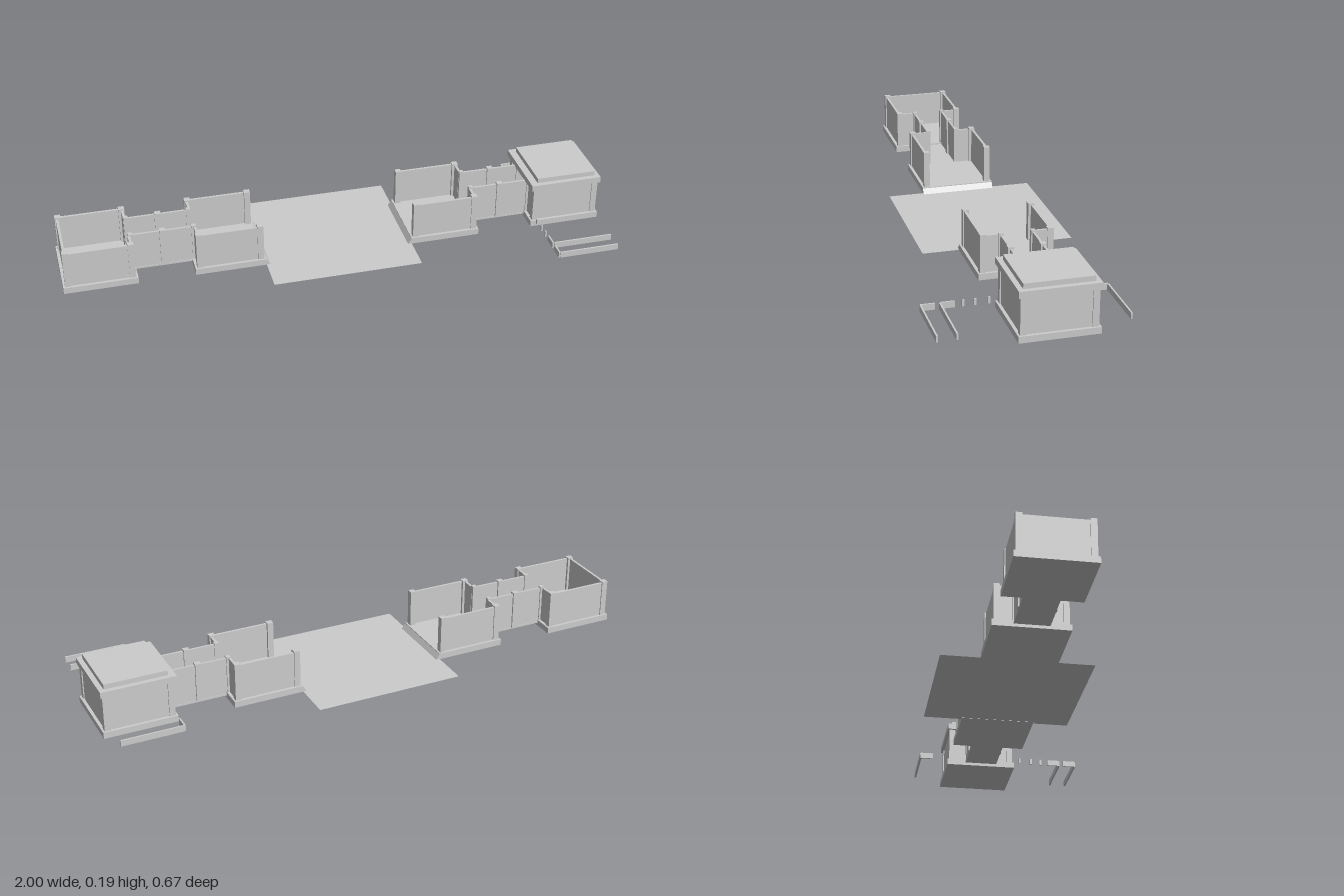
import * as THREE from 'three';

const CZ = -0.057; // shared centre line of rooms and corridors
const grey = new THREE.MeshStandardMaterial({ color: 0xcccccc, flatShading: true });
const thin = new THREE.MeshStandardMaterial({ color: 0xcccccc, side: THREE.DoubleSide });

// box given by its limits on each axis
function block(parent, name, xa, xb, ya, yb, za, zb) {
  const mesh = new THREE.Mesh(
    new THREE.BoxGeometry(Math.abs(xb - xa), Math.abs(yb - ya), Math.abs(zb - za)), grey);
  mesh.position.set((xa + xb) / 2, (ya + yb) / 2, (za + zb) / 2);
  mesh.name = name;
  parent.add(mesh);
}

// square room on side s, between x0 (inner) and x1 (outer)
function room(name, s, x0, x1, outerSide) {
  const g = new THREE.Group();
  g.name = name;
  const H = 0.129, T = 0.009, P = 0.022, top = 0.156;
  block(g, 'baseSlab', s * x0, s * x1, 0, 0.023, CZ - 0.136, CZ + 0.136);
  const a = x0 + 0.007, b = x1 - 0.007;
  for (const k of [1, -1]) {
    const zo = CZ + k * H;
    block(g, 'sideWall', s * a, s * b, 0.02, top, zo - k * 0.004, zo - k * (0.004 + T));
    for (const x of [a, b - P]) {
      block(g, 'cornerPost', s * x, s * (x + P), 0.02, 0.161, zo, zo - k * P);
    }
    // short return wall beside the corridor opening, ending in a small post
    const xr = outerSide ? a + 0.004 : b - 0.004 - T;
    block(g, 'returnWall', s * xr, s * (xr + T), 0.02, top, CZ + k * 0.058, zo - k * 0.005);
    const xp = outerSide ? a - 0.004 : b - 0.012;
    block(g, 'doorPost', s * xp, s * (xp + 0.016), 0.02, 0.161, CZ + k * 0.048, CZ + k * 0.064);
  }
  if (outerSide) {
    block(g, 'endWall', s * (b - 0.004), s * (b - 0.004 - T), 0.02, top, CZ - H + 0.01, CZ + H - 0.01);
  }
  return g;
}

// narrow passage between the two rooms on one side
function corridor(s) {
  const g = new THREE.Group();
  g.name = 'corridor';
  block(g, 'corridorFloor', s * 0.526, s * 0.74, 0.011, 0.018, CZ - 0.062, CZ + 0.062);
  for (const k of [1, -1]) {
    block(g, 'corridorWall', s * 0.526, s * 0.742, 0.016, 0.156, CZ + k * 0.052, CZ + k * 0.06);
    block(g, 'middlePost', s * 0.62, s * 0.642, 0.016, 0.161, CZ + k * 0.046, CZ + k * 0.066);
  }
  return g;
}

// wedge from the room floor down to the court
function ramp(s) {
  const shape = new THREE.Shape();
  shape.moveTo(s * 0.258, 0);
  shape.lineTo(s * 0.274, 0);
  shape.lineTo(s * 0.274, 0.023);
  shape.closePath();
  const geo = new THREE.ExtrudeGeometry(shape, { depth: 0.272, bevelEnabled: false });
  const mesh = new THREE.Mesh(geo, grey);
  mesh.position.z = CZ - 0.136;
  mesh.name = 'ramp';
  return mesh;
}

export function createModel() {
  const model = new THREE.Group();
  model.name = 'modularBuilding';

  // flat central court
  const court = new THREE.Mesh(new THREE.PlaneGeometry(0.545, 0.545).rotateX(-Math.PI / 2), thin);
  court.position.set(0, 0.001, -0.063);
  court.name = 'courtFloor';
  model.add(court);

  // mirrored wings
  for (const s of [1, -1]) {
    model.add(room('innerRoom', s, 0.272, 0.53, false));
    model.add(ramp(s));
    model.add(corridor(s));
    model.add(room('endRoom', s, 0.735, 1.0, true));
  }

  // stepped roof on the left end room
  block(model, 'roofSlab', 0.732, 1.0, 0.153, 0.176, CZ - 0.136, CZ + 0.136);
  block(model, 'roofCap', 0.758, 0.982, 0.176, 0.194, CZ - 0.118, CZ + 0.118);

  // loose trim strips, each with a short leg turned at the inner end
  const Y0 = 0.025, Y1 = 0.047, T = 0.006;
  for (const [z, leg] of [[0.334, 0.283], [0.27, 0.218], [-0.303, -0.25]]) {
    const g = new THREE.Group();
    g.name = 'trimStrip';
    const d = Math.sign(z - leg);
    block(g, 'stripRail', 0.754, 0.975, Y0, Y1, z - d * T, z);
    block(g, 'stripLeg', 0.748, 0.754, Y0, Y1, leg, z - d * 0.003);
    model.add(g);
  }
  for (const z of [0.19, 0.15, 0.104]) {
    block(model, 'trimPiece', 0.748, 0.754, Y0, Y1, z - 0.004, z + 0.004);
  }
  return model;
}
